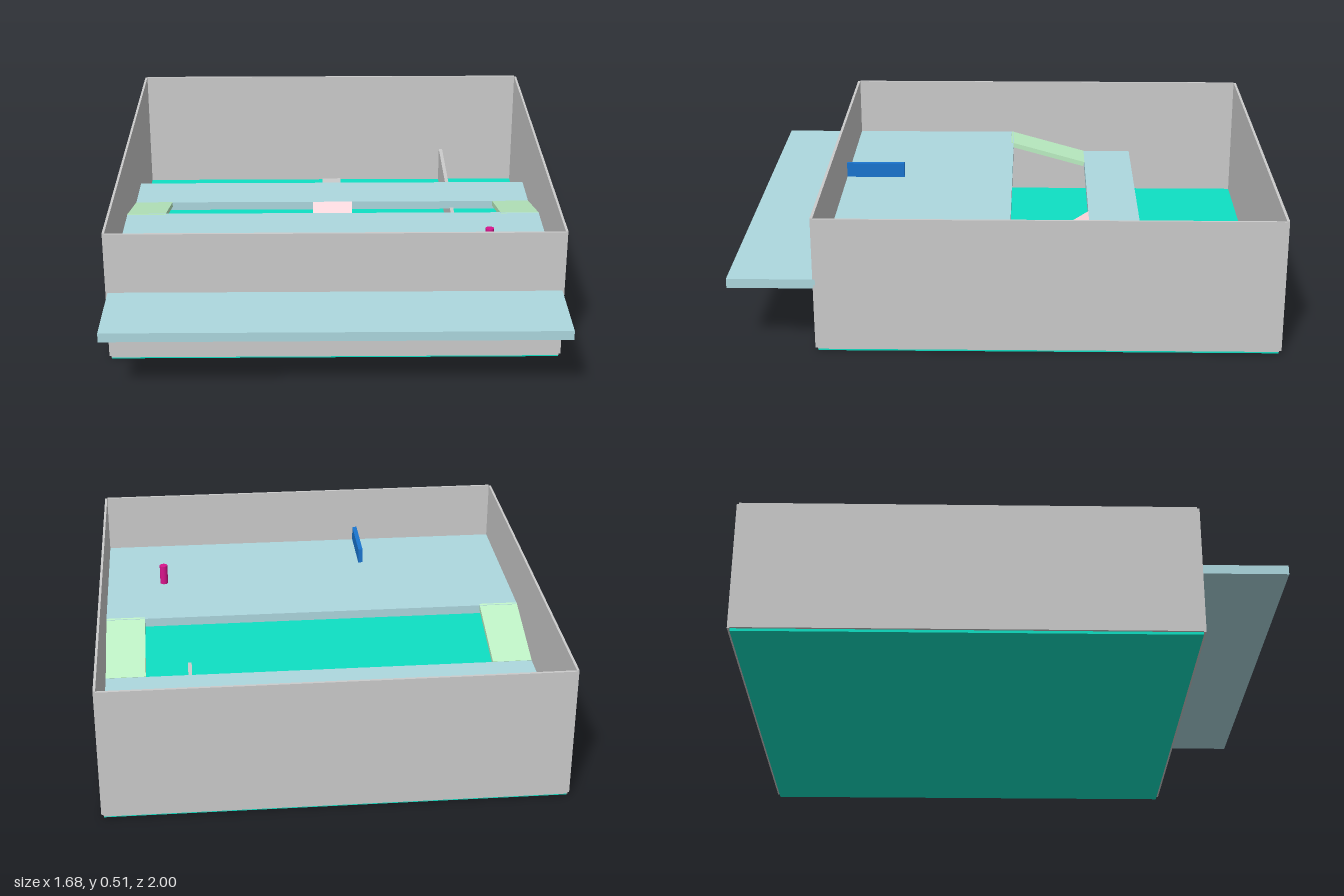
import * as THREE from 'three';

export function createModel() {
  const model = new THREE.Group();
  const paint = (color) => new THREE.MeshStandardMaterial({ color });
  const grey = paint(0xcccccc);
  const paleBlue = paint(0xadd8df);
  const paleGreen = paint(0xbdf0c4);

  function add(name, geometry, material) {
    const mesh = new THREE.Mesh(geometry, material);
    mesh.name = name;
    model.add(mesh);
    return mesh;
  }

  // Box given by its limits on each axis
  function block(name, [x0, x1], [y0, y1], [z0, z1], material) {
    const mesh = add(name, new THREE.BoxGeometry(x1 - x0, y1 - y0, z1 - z0), material);
    mesh.position.set((x0 + x1) / 2, (y0 + y1) / 2, (z0 + z1) / 2);
    return mesh;
  }

  // Sloping slab whose top surface runs from (y0, z0) to (y1, z1)
  function ramp(name, x, width, [y0, z0], [y1, z1], thickness, material) {
    const length = Math.hypot(y1 - y0, z1 - z0);
    const angle = Math.atan2(y0 - y1, z1 - z0);
    const mesh = add(name, new THREE.BoxGeometry(width, thickness, length), material);
    mesh.rotation.x = angle;
    mesh.position.set(
      x,
      (y0 + y1) / 2 - Math.cos(angle) * thickness / 2,
      (z0 + z1) / 2 - Math.sin(angle) * thickness / 2
    );
  }

  const inX = 0.833, outX = 0.842;
  const wallY = [0.01, 0.515];

  // Floor and the four enclosing walls, with small notches at the corners
  block('floor', [-inX, inX], [0, 0.01], [-0.99, 0.68], paint(0x0ee0c4));
  block('frontWall', [-inX, inX], wallY, [0.68, 0.69], grey);
  block('backWall', [-inX, inX], wallY, [-1, -0.99], grey);
  block('leftWall', [inX, outX], wallY, [-0.99, 0.68], grey);
  block('rightWall', [-outX, -inX], wallY, [-0.99, 0.68], grey);

  // Upper deck passing through the front wall, and the lower walkway behind it
  block('upperDeck', [-inX, inX], [0.245, 0.28], [-0.01, 1], paleBlue);
  block('walkway', [-inX, inX], [0.155, 0.19], [-0.53, -0.325], paleBlue);

  // Ramps from the walkway up to the deck, one on each side
  for (const side of [-1, 1]) {
    ramp('sideRamp', side * 0.756, 0.154, [0.191, -0.325], [0.282, 0], 0.02, paleGreen);
  }

  // Ramp from the floor up to the walkway
  ramp('floorRamp', 0, 0.165, [0.19, -0.325], [0.01, -0.045], 0.01, paint(0xffd5da));

  // Thin partition running under the walkway, and a small block on the floor
  block('partition', [0.5, 0.515], [0.01, 0.16], [-0.99, -0.17], grey);
  block('floorBlock', [-0.04, 0.04], [0.01, 0.1], [-0.79, -0.71], grey);

  // Post and low barrier on the deck
  const post = add('post', new THREE.CylinderGeometry(0.016, 0.016, 0.08, 32), paint(0xd8148c));
  post.position.set(0.6, 0.32, 0.315);
  block('barrier', [-0.25, -0.232], [0.28, 0.34], [0.44, 0.68], paint(0x1a75d0));

  return model;
}
